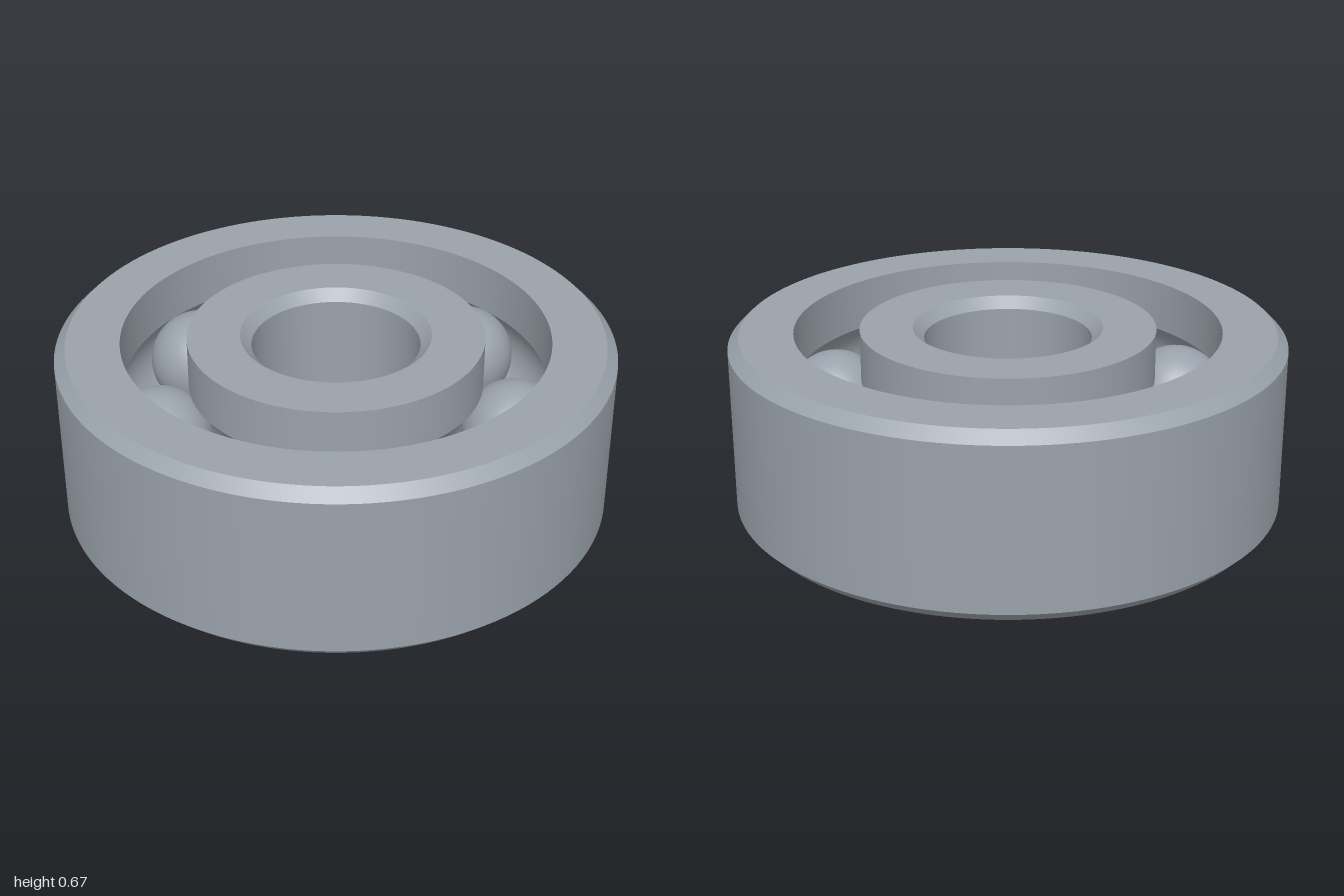
import * as THREE from 'three';
import { mergeGeometries } from 'three/addons/utils/BufferGeometryUtils.js';

const HEIGHT = 0.668, MID = HEIGHT / 2, CHAMFER = 0.04;
const PITCH = 0.65, BALL_RADIUS = 0.187, BALL_COUNT = 7;
const OUTER_RADIUS = 1, OUTER_INNER = 0.767, INNER_OUTER = 0.532, BORE = 0.302;

// Revolves each run of [radius, y] points on its own, so runs meet in sharp edges
function revolve(runs) {
  return mergeGeometries(runs.map(run =>
    new THREE.LatheGeometry(run.map(([r, y]) => new THREE.Vector2(r, y)), 128)));
}

// Turns a list of corners into straight runs
function straightRuns(corners) {
  return corners.slice(1).map((p, i) => [corners[i], p]);
}

// Ball track cross-section: an arc around the ball centre
function groove(from, to, steps = 16) {
  return Array.from({ length: steps + 1 }, (_, i) => {
    const a = from + (to - from) * i / steps;
    return [PITCH + BALL_RADIUS * Math.cos(a), MID + BALL_RADIUS * Math.sin(a)];
  });
}

export function createModel() {
  const model = new THREE.Group();
  model.name = 'ballBearing';
  const steel = new THREE.MeshStandardMaterial({ color: 0x9aa2ab });
  steel.name = 'steel';

  const add = (name, geometry, parent = model) => {
    const mesh = new THREE.Mesh(geometry, steel);
    mesh.name = name;
    parent.add(mesh);
    return mesh;
  };

  // Outer ring: chamfered outside, grooved inside
  const outerAngle = Math.acos((OUTER_INNER - PITCH) / BALL_RADIUS);
  const outerTrack = groove(outerAngle, -outerAngle);
  add('outerRing', revolve([
    ...straightRuns([
      outerTrack.at(-1),
      [OUTER_INNER, 0],
      [OUTER_RADIUS - CHAMFER, 0],
      [OUTER_RADIUS, CHAMFER],
      [OUTER_RADIUS, HEIGHT - CHAMFER],
      [OUTER_RADIUS - CHAMFER, HEIGHT],
      [OUTER_INNER, HEIGHT],
      outerTrack[0],
    ]),
    outerTrack,
  ]));

  // Inner ring: grooved outside, chamfered bore
  const innerAngle = Math.acos((PITCH - INNER_OUTER) / BALL_RADIUS);
  const innerTrack = groove(Math.PI + innerAngle, Math.PI - innerAngle);
  add('innerRing', revolve([
    ...straightRuns([
      innerTrack.at(-1),
      [INNER_OUTER, HEIGHT],
      [BORE + CHAMFER, HEIGHT],
      [BORE, HEIGHT - CHAMFER],
      [BORE, CHAMFER],
      [BORE + CHAMFER, 0],
      [INNER_OUTER, 0],
      innerTrack[0],
    ]),
    innerTrack,
  ]));

  // Balls, evenly spaced with the first at the back
  const balls = new THREE.Group();
  balls.name = 'balls';
  model.add(balls);
  const ballGeometry = new THREE.SphereGeometry(BALL_RADIUS, 48, 32);
  for (let i = 0; i < BALL_COUNT; i++) {
    const a = i / BALL_COUNT * Math.PI * 2;
    add('ball', ballGeometry, balls)
      .position.set(PITCH * Math.sin(a), MID, -PITCH * Math.cos(a));
  }

  return model;
}
